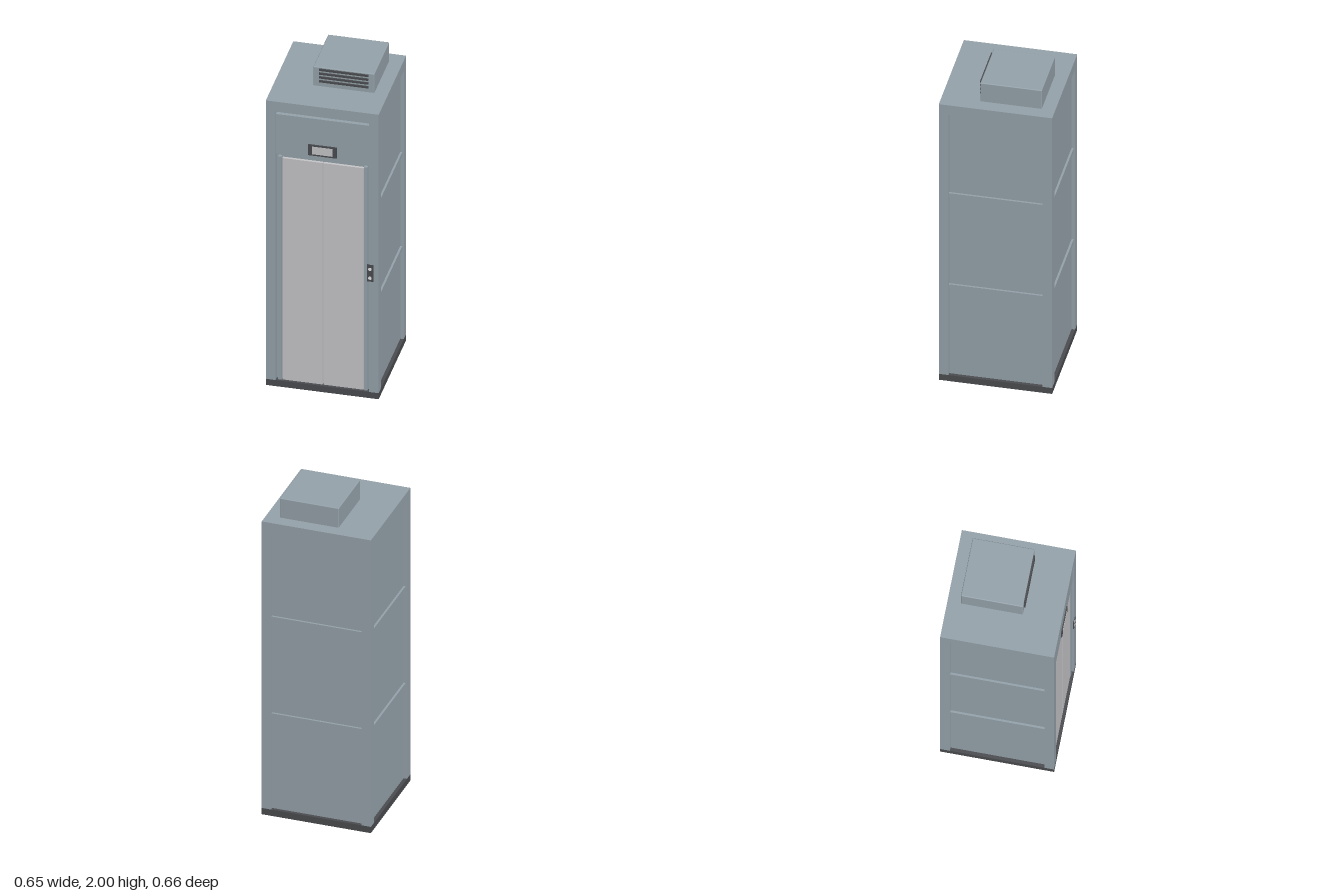
import * as THREE from 'three';
import { RoundedBoxGeometry } from 'three/addons/geometries/RoundedBoxGeometry.js';

const material = (name, color) => new THREE.MeshStandardMaterial({ name, color });

export function createModel() {
  const steel = material('blue grey steel', 0x95a2aa);
  const door = material('light grey door', 0xc5c5c9);
  const dark = material('dark grey', 0x4a4c4f);
  const white = material('button white', 0xe4e4e6);

  const model = new THREE.Group();
  model.name = 'elevatorCar';
  const cabin = new THREE.Group();
  cabin.name = 'cabin';
  cabin.position.z = -0.003;
  model.add(cabin);

  // Box given by its minimum and maximum corners
  function box(name, mat, [x0, y0, z0], [x1, y1, z1], parent = cabin, radius = 0) {
    const size = [x1 - x0, y1 - y0, z1 - z0];
    const geometry = radius
      ? new RoundedBoxGeometry(...size, 2, radius)
      : new THREE.BoxGeometry(...size);
    const mesh = new THREE.Mesh(geometry, mat);
    mesh.name = name;
    mesh.position.set((x0 + x1) / 2, (y0 + y1) / 2, (z0 + z1) / 2);
    parent.add(mesh);
    return mesh;
  }

  const W = 0.326;       // half width of the cabin
  const P = 0.27;        // inner edge of the corner posts
  const floor = 0.04, beam = 1.81, top = 1.876;

  // Base, roof and corner posts
  box('base', dark, [-W, 0, -W], [W, floor, W]);
  box('roof', steel, [-W, beam, -W], [W, top, W]);
  for (const sx of [-1, 1]) for (const sz of [-1, 1]) {
    const x = sx * (W + P) / 2, z = sz * (W + P) / 2, h = (W - P) / 2;
    box('cornerPost', steel, [x - h, floor, z - h], [x + h, beam, z + h]);
  }

  // Recessed wall with two horizontal ribs, on both sides and the back
  for (const angle of [Math.PI / 2, Math.PI, -Math.PI / 2]) {
    const wall = new THREE.Group();
    wall.name = 'wall';
    wall.rotation.y = angle;
    box('wallPanel', steel, [-P, floor, W - 0.04], [P, beam, W - 0.02], wall);
    for (const y of [0.64, 1.26]) {
      box('wallRib', steel, [-P, y - 0.013, W - 0.02], [P, y + 0.013, W - 0.008], wall);
    }
    cabin.add(wall);
  }

  // Front wall, header and door jambs
  box('frontWall', steel, [-P, floor, W - 0.05], [P, beam, W - 0.032]);
  box('header', steel, [-P, 1.53, W - 0.032], [P, 1.79, W - 0.008]);
  for (const s of [-1, 1]) {
    const x = s * 0.248;
    box('doorJamb', steel, [x - 0.01, floor, W - 0.032], [x + 0.01, 1.51, W - 0.012]);
    // Sliding door leaf
    const c = s * 0.1185;
    box('doorLeaf', door, [c - 0.1165, floor, W - 0.034], [c + 0.1165, 1.5, W - 0.016]);
  }

  // Floor display above the doors
  box('displayFrame', dark, [-0.083, 1.55, W - 0.01], [0.083, 1.62, W - 0.001]);
  box('displayScreen', door, [-0.06, 1.56, W - 0.003], [0.06, 1.61, W + 0.0005]);

  // Call panel on the front post
  box('callPanel', dark, [0.258, 0.77, W - 0.003], [0.295, 0.88, W + 0.002]);
  for (const y of [0.793, 0.851]) {
    const button = new THREE.Mesh(new THREE.CylinderGeometry(0.01, 0.01, 0.006, 20), white);
    button.name = 'callButton';
    button.rotation.x = Math.PI / 2;
    button.position.set(0.276, y, W + 0.002);
    cabin.add(button);
  }

  // Ventilation unit on the roof with louvres
  const unit = new THREE.Group();
  unit.name = 'ventilationUnit';
  model.add(unit);
  box('unitHousing', steel, [-0.106, top - 0.006, -0.252], [0.247, 2, 0.102], unit, 0.005);
  for (let i = 0; i < 4; i++) {
    const y = 1.911 + i * 0.025;
    box('louvre', dark, [-0.072, y - 0.006, 0.1], [0.213, y + 0.006, 0.11], unit);
  }
  return model;
}
